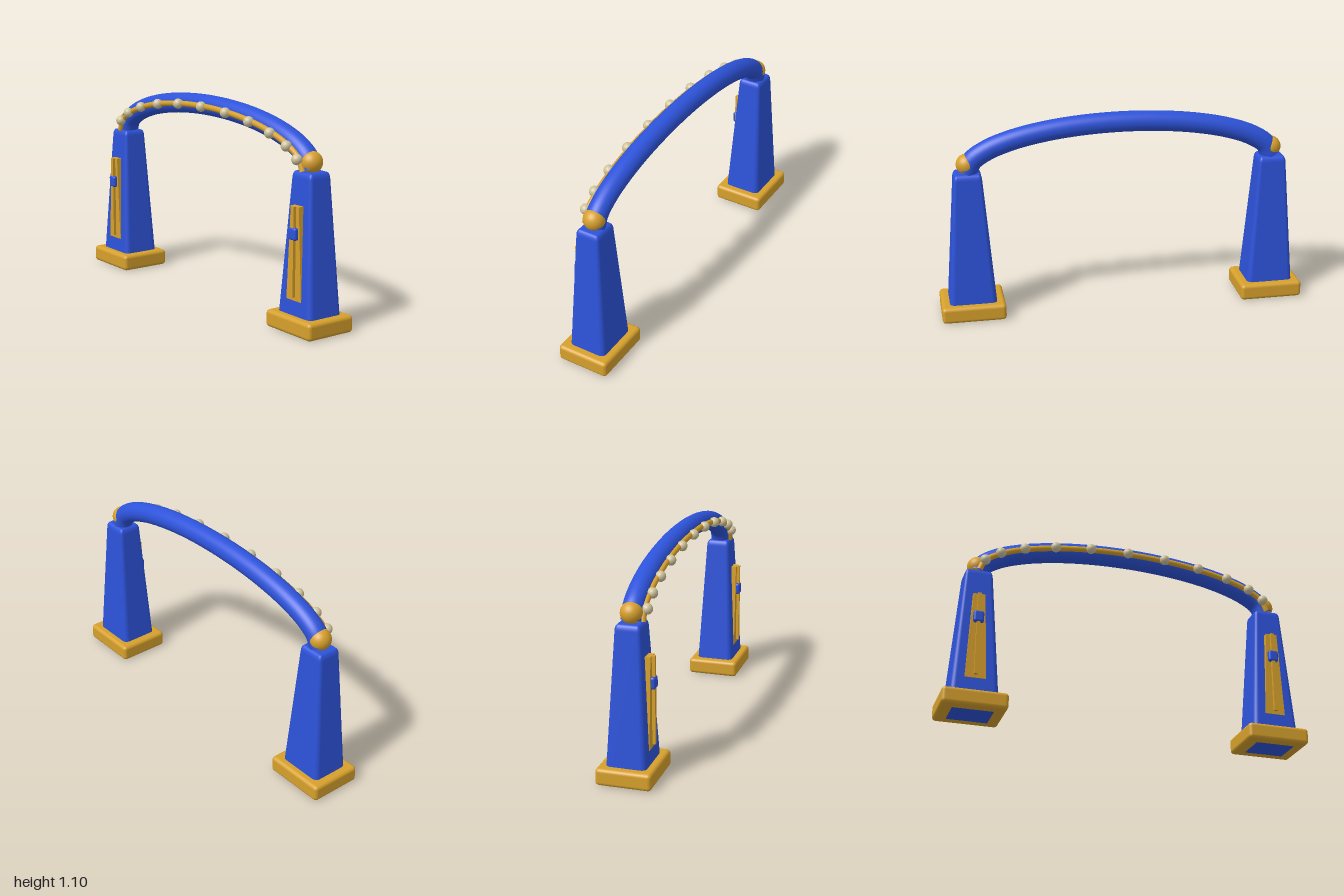
import * as THREE from 'three';
import { RoundedBoxGeometry } from 'three/addons/geometries/RoundedBoxGeometry.js';

const ARCH = { a: 0.827, b: 0.23, y: 0.81 }; // half-span, rise, spring height
const PILLAR_H = 0.81;

function createModel() {
  const material = (name, color) => {
    const m = new THREE.MeshStandardMaterial({ color });
    m.name = name;
    return m;
  };
  const blue = material('blue', 0x2d53da);
  const gold = material('gold', 0xd6a02c);
  const cream = material('cream', 0xcfc39c);

  const model = new THREE.Group();
  model.name = 'archway';

  const add = (parent, name, geometry, mat, x = 0, y = 0, z = 0) => {
    const mesh = new THREE.Mesh(geometry, mat);
    mesh.name = name;
    mesh.position.set(x, y, z);
    parent.add(mesh);
    return mesh;
  };

  // Rounded box narrowed towards the top, with matching normals
  const taperedBox = (w, h, d, radius, topX, topZ) => {
    const g = new RoundedBoxGeometry(w, h, d, 4, radius);
    const p = g.attributes.position, n = g.attributes.normal;
    const v = new THREE.Vector3();
    for (let i = 0; i < p.count; i++) {
      const x = p.getX(i), y = p.getY(i), z = p.getZ(i);
      const t = y / h + 0.5;
      const sx = 1 + (topX - 1) * t, sz = 1 + (topZ - 1) * t;
      v.fromBufferAttribute(n, i);
      const slope = (v.x * x * (topX - 1) / sx + v.z * z * (topZ - 1) / sz) / h;
      v.set(v.x / sx, v.y - slope, v.z / sz).normalize();
      p.setXYZ(i, x * sx, y, z * sz);
      n.setXYZ(i, v.x, v.y, v.z);
    }
    return g;
  };

  // Points every 15 degrees along the half ellipse
  const archPoint = (i, z) => {
    const t = (i * Math.PI) / 12;
    return new THREE.Vector3(-ARCH.a * Math.cos(t), ARCH.y + ARCH.b * Math.sin(t), z);
  };
  const archCurve = (z) => new THREE.CatmullRomCurve3(
    Array.from({ length: 13 }, (_, i) => archPoint(i, z)));

  // Arch beam with its trim rail and beads
  add(model, 'archBeam', new THREE.TubeGeometry(archCurve(0), 96, 0.055, 32), blue);
  add(model, 'archTrim', new THREE.TubeGeometry(archCurve(0.056), 96, 0.016, 16), gold);
  const bead = new THREE.SphereGeometry(0.028, 24, 16);
  for (let i = 1; i < 12; i++) {
    const p = archPoint(i, 0.07);
    add(model, 'archBead', bead, cream, p.x, p.y, p.z);
  }

  // Tapered front panel
  const panelShape = new THREE.Shape([
    new THREE.Vector2(-0.056, 0.167), new THREE.Vector2(0.056, 0.167),
    new THREE.Vector2(0.031, 0.645), new THREE.Vector2(-0.031, 0.645),
  ]);
  const panel = new THREE.ExtrudeGeometry(panelShape, { depth: 0.032, bevelEnabled: false });

  const base = new RoundedBoxGeometry(0.345, 0.09, 0.29, 4, 0.02);
  const pillar = taperedBox(0.268, PILLAR_H, 0.22, 0.03, 0.543, 0.59);
  const knob = new THREE.SphereGeometry(0.057, 32, 20);
  const strip = new THREE.BoxGeometry(0.02, 0.46, 0.02);
  const button = new RoundedBoxGeometry(0.056, 0.064, 0.04, 4, 0.012);

  // One complete support at each end
  for (const [side, name] of [[1, 'leftSupport'], [-1, 'rightSupport']]) {
    const support = new THREE.Group();
    support.name = name;
    support.position.x = side * ARCH.a;
    model.add(support);
    add(support, 'base', base, gold, 0, 0.045, 0);
    add(support, 'pillar', pillar, blue, 0, PILLAR_H / 2 - 0.0005, 0);
    add(support, 'jointKnob', knob, gold, 0, 0.853, 0);
    add(support, 'frontPanel', panel, gold, 0, 0, 0.071);
    add(support, 'panelStrip', strip, gold, 0, 0.415, 0.109);
    add(support, 'panelButton', button, blue, 0, 0.508, 0.104);
  }

  return model;
}

export { createModel };
